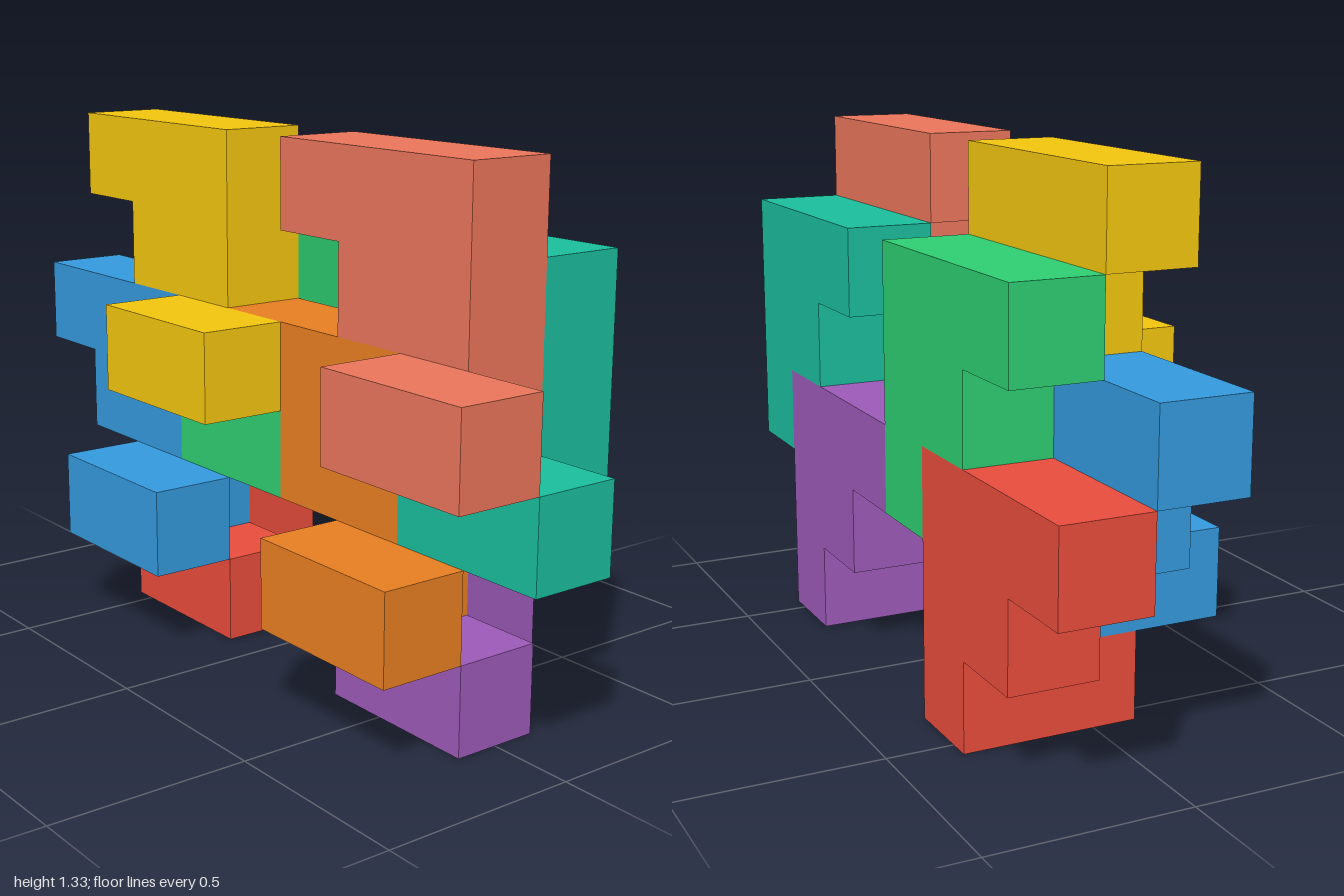
import * as THREE from 'three';

const U = 2 / 9; // edge of one cube cell

// Staircase outline in cell units: three cells on top, two below, one at the bottom
const STEPS = [[2, 0], [3, 0], [3, 3], [0, 3], [0, 2], [1, 2], [1, 1], [2, 1]];

// One puzzle piece: a staircase slab with a two-cell bar on the front of its foot.
// col and row give its lower left cell, layer its depth (0 = middle, -1 = back).
function makePiece(name, color, col, row, layer) {
  const piece = new THREE.Group();
  piece.name = name;
  const material = new THREE.MeshStandardMaterial({ color, flatShading: true });

  const outline = new THREE.Shape(STEPS.map(([x, y]) => new THREE.Vector2(x * U, y * U)));
  const slab = new THREE.Mesh(
    new THREE.ExtrudeGeometry(outline, { depth: U, bevelEnabled: false }), material);
  slab.name = name + 'Staircase';

  const bar = new THREE.Mesh(new THREE.BoxGeometry(2 * U, U, U), material);
  bar.position.set(3 * U, U / 2, 1.5 * U);
  bar.name = name + 'FootBar';

  piece.add(slab, bar);
  piece.position.set(-1 + col * U, row * U, (layer - 0.5) * U);
  return piece;
}

export function createModel() {
  const model = new THREE.Group();
  model.name = 'interlockingBlocks';
  const pieces = [
    // middle layer, bars to the front
    ['yellowPiece', 0xf1c40f, 1, 3, 0],
    ['salmonPiece', 0xe8745a, 5, 3, 0],
    ['bluePiece', 0x3498db, 0, 1, 0],
    ['orangePiece', 0xe67e22, 4, 1, 0],
    // back layer, bars reaching into the middle layer
    ['greenPiece', 0x2ecc71, 1, 2, -1],
    ['tealPiece', 0x1abc9c, 5, 2, -1],
    ['redPiece', 0xe74c3c, 0, 0, -1],
    ['purplePiece', 0x9b59b6, 4, 0, -1],
  ];
  for (const p of pieces) model.add(makePiece(...p));
  return model;
}
